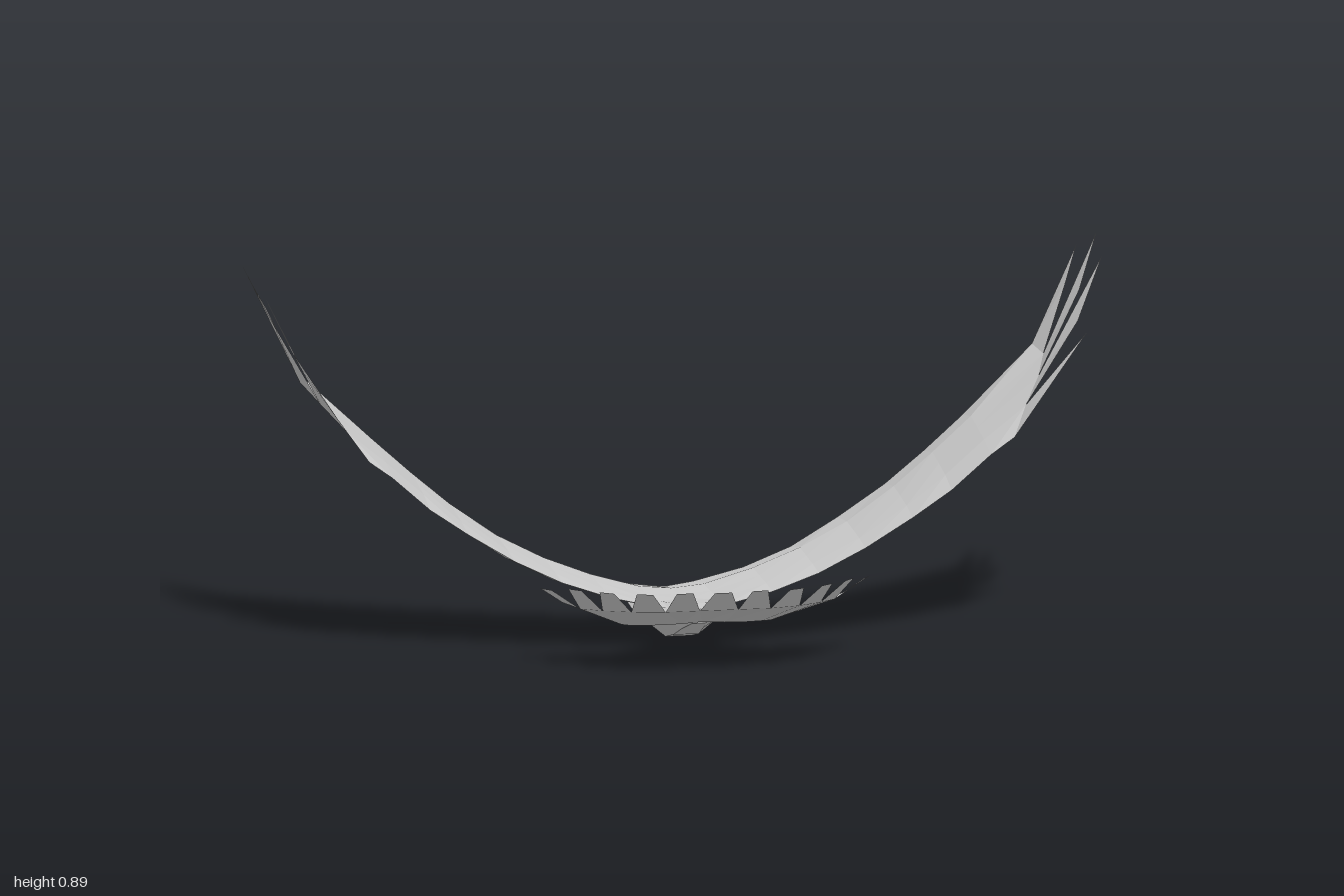
import * as THREE from 'three';

const material = new THREE.MeshStandardMaterial({ color: 0xcccccc, flatShading: true, side: THREE.DoubleSide });

// Faceted mesh from a list of triangles, each three [x, y, z] corners
function facets(name, tris) {
  const g = new THREE.BufferGeometry();
  g.setAttribute('position', new THREE.Float32BufferAttribute(tris.flat(2), 3));
  g.computeVertexNormals();
  const m = new THREE.Mesh(g, material);
  m.name = name;
  return m;
}

// Triangles between successive rows of points
function loft(rows, closed = false) {
  const tris = [];
  for (let i = 0; i + 1 < rows.length; i++) {
    const a = rows[i], b = rows[i + 1], n = a.length;
    for (let j = 0; j < (closed ? n : n - 1); j++) {
      const k = (j + 1) % n;
      tris.push([a[j], b[j], b[k]], [a[j], b[k], a[k]]);
    }
  }
  return tris;
}

// Reverses corner order when reflecting across the centre plane
const mirror = (tris) => tris.map(([a, b, c]) => [a, c, b].map(([x, y, z]) => [-x, y, z]));

// Wing stations: x, trailing y, crease y, leading y, trailing z, leading z
const stations = [
  [0, 0.105, 0.1, 0.085, 0, -0.345],
  [0.075, 0.105, 0.107, 0.09, 0, -0.37],
  [0.19, 0.13, 0.14, 0.12, -0.015, -0.362],
  [0.3, 0.167, 0.183, 0.165, -0.024, -0.357],
  [0.41, 0.22, 0.24, 0.228, -0.03, -0.363],
  [0.52, 0.288, 0.318, 0.303, -0.025, -0.357],
  [0.61, 0.35, 0.394, 0.378, -0.02, -0.352],
  [0.7, 0.43, 0.475, 0.46, -0.014, -0.346],
];
const wingEnd = [
  [0.755, 0.47, -0.01], [0.795, 0.53, -0.08], [0.84, 0.58, -0.16], [0.87, 0.615, -0.25], [0.86, 0.622, -0.335],
];

function wingTriangles() {
  const top = stations.map(([x, yT, yC, yL, zT, zL]) => {
    const crease = -0.25;
    const along = (t) => [x, yT + (yC - yT) * Math.sqrt(t) * (0.6 + 0.4 * Math.sqrt(t)), zT + (crease - zT) * t];
    return [along(0), along(0.33), along(0.66), along(1), [x, yL, zL]];
  });
  top.push(wingEnd);
  // Underside shares the edges and bows slightly outward
  const under = top.map((row, i) => row.map(([x, y, z], j) => {
    const d = j === 0 || j === 4 || i === top.length - 1 ? 0 : 0.014;
    return [x + (i ? d * 0.6 : 0), y - d, z];
  }));
  return [...loft(top), ...loft(under.map((r) => [...r].reverse()))];
}

// Wingtip feathers: tip and shoulder, each rising from one gap-to-gap span
const feathers = [
  { tip: [0.925, 0.71, -0.01] },
  { tip: [0.985, 0.862, -0.137], shoulder: [0.92, 0.72, -0.095] },
  { tip: [1, 0.89, -0.277], shoulder: [0.945, 0.77, -0.205] },
  { tip: [0.97, 0.845, -0.363], shoulder: [0.935, 0.775, -0.305] },
];

function featherTriangles({ tip, shoulder }, i) {
  const a = wingEnd[i], b = wingEnd[i + 1];
  return shoulder ? [[a, shoulder, b], [shoulder, tip, b]] : [[a, tip, b]];
}

// Body cross-sections: z, bottom y, side y, top y, bottom half width, side half width, top half width
const bodySections = [
  [-0.36, 0.013, 0.03, 0.06, 0.025, 0.05, 0.045],
  [-0.335, 0.009, 0.07, 0.088, 0.028, 0.075, 0.06],
  [-0.265, 0.003, 0.067, 0.095, 0.03, 0.1, 0.07],
  [-0.17, 0.003, 0.065, 0.1, 0.03, 0.105, 0.07],
  [-0.08, 0.025, 0.08, 0.105, 0.03, 0.1, 0.06],
  [0, 0.055, 0.1, 0.113, 0.025, 0.07, 0.04],
  [0.07, 0.08, 0.1, 0.113, 0.015, 0.06, 0.03],
];

function bodyTriangles() {
  const rings = bodySections.map(([z, yb, ym, yt, wb, wm, wt]) => [
    [-wb, yb, z], [wb, yb, z], [wm, ym, z], [wt, yt, z], [-wt, yt, z], [-wm, ym, z],
  ]);
  const cap = (ring) => ring.slice(2).map((p, i) => [ring[0], ring[i + 1], p]);
  return [...loft(rings, true), ...cap(rings[0]), ...cap(rings[rings.length - 1])];
}

// Tail half fan: feather-end centres, and the notches between them
const tailTips = [
  [0, 0.208, 0.363], [0.088, 0.208, 0.355], [0.178, 0.205, 0.333],
  [0.258, 0.203, 0.287], [0.322, 0.202, 0.23], [0.376, 0.192, 0.161],
];
const tailNotches = [
  [0.045, 0.157, 0.31], [0.123, 0.155, 0.3], [0.197, 0.152, 0.268], [0.255, 0.148, 0.22], [0.298, 0.145, 0.172],
];
const tailInner = [[0, 0.092, 0.115], [0.05, 0.09, 0.12], [0.1, 0.088, 0.115], [0.14, 0.086, 0.1], [0.165, 0.084, 0.085], [0.18, 0.083, 0.065]];

function tailTriangles() {
  const root = [0, 0.1, 0], side = [0.075, 0.1, 0];
  const edges = [[0, 0.157, 0.31], ...tailNotches, [0.33, 0.152, 0.126]];
  const tris = [[root, tailInner[0], tailInner[1]], [root, tailInner[1], side]];
  for (let i = 1; i < 5; i++) tris.push([side, tailInner[i], tailInner[i + 1]]);
  for (let i = 0; i < 6; i++) {
    const a = edges[i], b = edges[i + 1], tip = tailTips[i];
    const p = tailInner[i], q = tailInner[Math.min(i + 1, 5)];
    tris.push([p, a, b]);
    if (p !== q) tris.push([p, b, q]);
    // Blunt feather end running across the fan
    const dx = b[0] - a[0], dz = b[2] - a[2], s = 0.019 / Math.hypot(dx, dz);
    const w = i === 0 ? 0.02 : s;
    const l = i === 0 ? [0, tip[1], tip[2]] : [tip[0] - dx * w, tip[1], tip[2] - dz * w];
    const r = i === 0 ? [w, tip[1], tip[2]] : [tip[0] + dx * w, tip[1], tip[2] + dz * w];
    tris.push([a, l, r], [a, r, b]);
  }
  return tris;
}

export function createModel() {
  const model = new THREE.Group();
  model.name = 'bird';
  model.add(facets('body', bodyTriangles()));

  const wing = wingTriangles(), tips = feathers.flatMap(featherTriangles), tail = tailTriangles();
  for (const [side, place] of [['left', (t) => t], ['right', mirror]]) {
    const group = new THREE.Group();
    group.name = `${side}Wing`;
    group.add(facets(`${side}WingPanel`, place(wing)), facets(`${side}WingFeathers`, place(tips)));
    model.add(group, facets(`${side}TailFan`, place(tail)));
  }
  return model;
}
